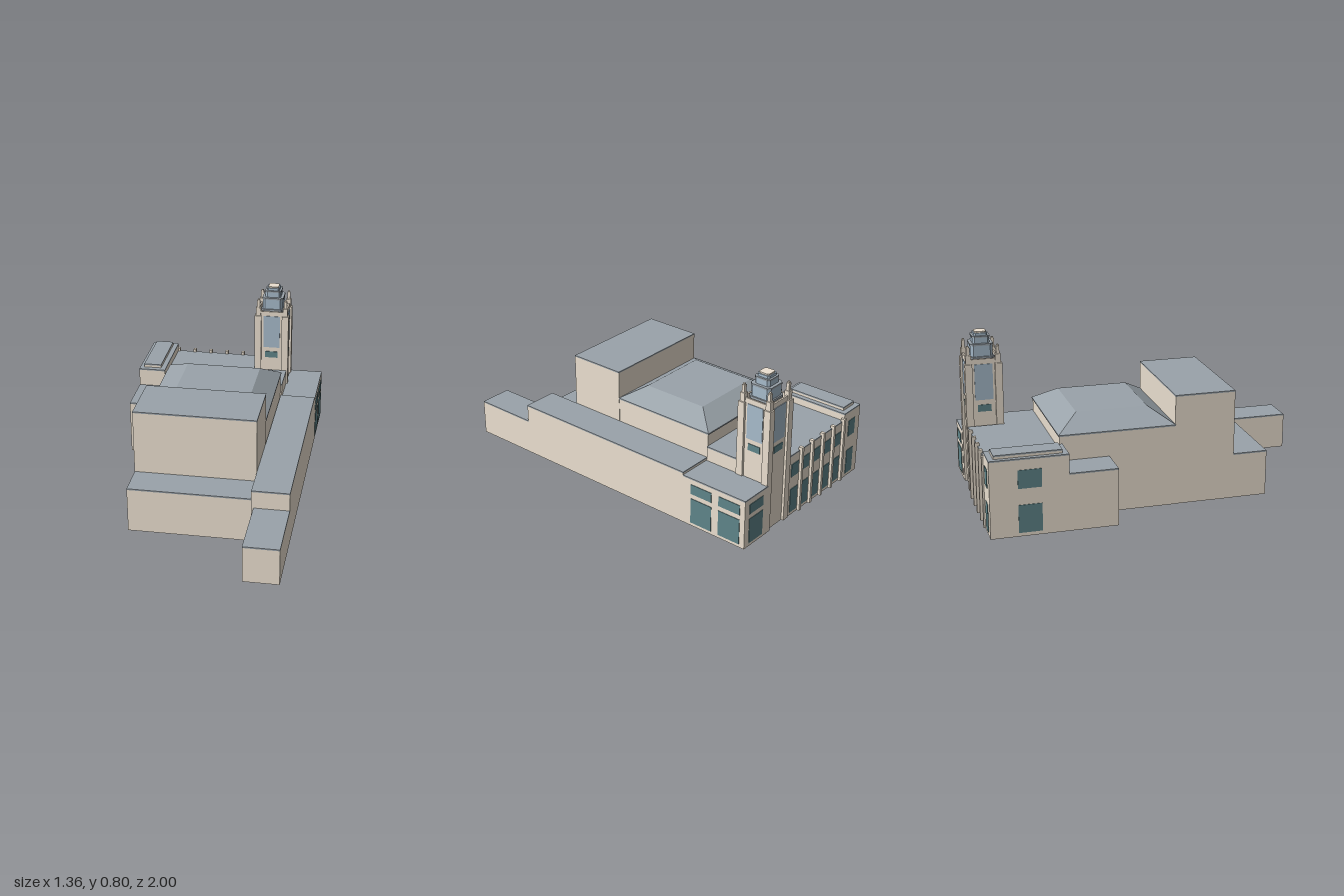
import * as THREE from 'three';

const material = (color) => new THREE.MeshStandardMaterial({ color, flatShading: true, side: THREE.DoubleSide });
const stone = material(0xece1d1);
const roofing = material(0x9aa3aa);
const windowGlass = material(0x5f858a);
const towerGlass = material(0xa8bccc);

function add(parent, name, geometry, mat) {
  const mesh = new THREE.Mesh(geometry, mat);
  mesh.name = name;
  parent.add(mesh);
}

// Box given by its extents; an open one keeps only the four walls
function box(parent, name, [x0, x1], [y0, y1], [z0, z1], mat, open = false) {
  const g = new THREE.BoxGeometry(x1 - x0, y1 - y0, z1 - z0);
  if (open) {
    const index = Array.from(g.index.array);
    g.clearGroups();
    g.setIndex([...index.slice(0, 12), ...index.slice(24)]);
  }
  g.translate((x0 + x1) / 2, (y0 + y1) / 2, (z0 + z1) / 2);
  add(parent, name, g, mat);
}

// Hollow masonry block under a thin flat roof
function block(parent, name, x, z, h) {
  const t = 0.007;
  const g = new THREE.Group();
  g.name = name;
  parent.add(g);
  box(g, name + 'Walls', x, [0, h - t], z, stone, true);
  box(g, name + 'Roof', x, [h - t, h], z, roofing);
}

// Truncated hip roof lofted between two rectangles
function hipRoof(parent, x, z, y, topX, topZ, topY) {
  const ring = (a, b, h) => [[a[0], h, b[0]], [a[0], h, b[1]], [a[1], h, b[1]], [a[1], h, b[0]]];
  const lo = ring(x, z, y), hi = ring(topX, topZ, topY);
  const p = [];
  const quad = (a, b, c, d) => p.push(...a, ...b, ...c, ...a, ...c, ...d);
  for (let i = 0; i < 4; i++) {
    const j = (i + 1) % 4;
    quad(lo[i], lo[j], hi[j], hi[i]);
  }
  quad(...hi);
  const g = new THREE.BufferGeometry();
  g.setAttribute('position', new THREE.Float32BufferAttribute(p, 3));
  g.computeVertexNormals();
  add(parent, 'hipRoof', g, roofing);
}

// Square tier with cut corners
function tier(parent, name, half, y0, y1, mat) {
  const c = half * 0.75;
  const pts = [[half, -c], [half, c], [c, half], [-c, half], [-half, c], [-half, -c], [-c, -half], [c, -half]];
  const shape = new THREE.Shape(pts.map(([a, b]) => new THREE.Vector2(a, b)));
  const g = new THREE.ExtrudeGeometry(shape, { depth: y1 - y0, bevelEnabled: false });
  g.rotateX(-Math.PI / 2).translate(0, y0, 0);
  add(parent, name, g, mat);
}

function buildTower() {
  const tower = new THREE.Group();
  tower.name = 'tower';
  box(tower, 'towerCore', [-0.055, 0.055], [0, 0.675], [-0.055, 0.055], stone, true);
  // Four identical faces and corners
  for (let i = 0; i < 4; i++) {
    const side = new THREE.Group();
    side.name = 'towerSide';
    side.rotation.y = i * Math.PI / 2;
    tower.add(side);
    box(side, 'shaftWall', [-0.08, 0.08], [0, 0.678], [0.072, 0.08], stone);
    box(side, 'tallGlass', [-0.045, 0.045], [0.47, 0.652], [0.078, 0.083], towerGlass);
    box(side, 'shaftWindow', [-0.034, 0.034], [0.41, 0.445], [0.078, 0.083], windowGlass);
    box(side, 'cornerPier', [0.056, 0.0925], [0, 0.655], [0.056, 0.0925], stone);
    box(side, 'pierShoulder', [0.06, 0.086], [0.655, 0.7], [0.06, 0.086], stone);
    box(side, 'pinnacle', [0.065, 0.081], [0.7, 0.739], [0.065, 0.081], stone);
    box(side, 'pinnacleCap', [0.068, 0.078], [0.739, 0.746], [0.068, 0.078], stone);
  }
  // Stepped glass crown
  tier(tower, 'crownBase', 0.062, 0.672, 0.684, roofing);
  tier(tower, 'crownLower', 0.055, 0.684, 0.738, towerGlass);
  tier(tower, 'crownLowerRoof', 0.057, 0.738, 0.747, roofing);
  tier(tower, 'crownMiddle', 0.042, 0.747, 0.775, towerGlass);
  tier(tower, 'crownMiddleRoof', 0.044, 0.775, 0.783, roofing);
  tier(tower, 'crownUpper', 0.034, 0.783, 0.796, towerGlass);
  tier(tower, 'crownTop', 0.028, 0.796, 0.803, stone);
  tower.position.set(0.075, 0, -0.71);
  return tower;
}

export function createModel() {
  const model = new THREE.Group();
  model.name = 'theatreBuilding';
  // The plan is turned relative to the axes
  const plan = new THREE.Group();
  plan.name = 'plan';
  plan.rotation.y = -28.1 * Math.PI / 180;
  model.add(plan);

  // Main masses
  block(plan, 'stageHouse', [-0.448, 0.155], [0.133, 0.434], 0.555);
  block(plan, 'frontBlock', [-0.447, 0.155], [0.434, 0.606], 0.23);
  block(plan, 'longWing', [0.155, 0.339], [-0.435, 0.612], 0.278);
  block(plan, 'endBlock', [0.166, 0.339], [0.612, 0.953], 0.186);
  block(plan, 'cornerPavilion', [0.16, 0.339], [-0.804, -0.435], 0.263);
  block(plan, 'sideBlock', [-0.623, -0.456], [-0.43, -0.196], 0.285);
  block(plan, 'rearPavilion', [-0.623, -0.482], [-0.804, -0.43], 0.38);
  box(plan, 'rearPavilionCap', [-0.602, -0.508], [0.38, 0.391], [-0.778, -0.458], stone);
  box(plan, 'rearPavilionCapRoof', [-0.602, -0.508], [0.391, 0.398], [-0.778, -0.458], roofing);

  // Lobby wraps around the tower
  block(plan, 'lobby', [-0.482, -0.017], [-0.798, -0.437], 0.34);
  block(plan, 'lobbyReturn', [-0.017, 0.16], [-0.618, -0.437], 0.34);

  // Auditorium under its hip roof
  box(plan, 'auditorium', [-0.45, 0.152], [0, 0.403], [-0.437, 0.133], stone, true);
  box(plan, 'eaves', [-0.454, 0.156], [0.403, 0.41], [-0.441, 0.133], roofing);
  hipRoof(plan, [-0.454, 0.156], [-0.441, 0.133], 0.41, [-0.33, 0.057], [-0.327, 0.025], 0.478);

  // Rear colonnade: pilasters with two storeys of windows
  for (let i = 0; i < 5; i++) {
    const x = -0.478 + i * 0.092;
    box(plan, 'pilaster', [x - 0.008, x + 0.008], [0, 0.355], [-0.812, -0.79], stone);
    for (const y of [[0.018, 0.15], [0.218, 0.288]])
      box(plan, 'colonnadeWindow', [x + 0.017, x + 0.075], y, [-0.801, -0.79], windowGlass);
  }

  // Corner pavilion windows
  for (const y of [[0.017, 0.152], [0.178, 0.23]]) {
    for (const z of [[-0.608, -0.484], [-0.775, -0.65]])
      box(plan, 'pavilionSideWindow', [0.333, 0.3415], y, z, windowGlass);
    box(plan, 'pavilionBackWindow', [0.198, 0.304], y, [-0.8065, -0.795], windowGlass);
  }

  // Rear pavilion windows
  for (const y of [[0.018, 0.155], [0.235, 0.325]]) {
    box(plan, 'rearPavilionBackWindow', [-0.58, -0.523], y, [-0.8065, -0.795], windowGlass);
    box(plan, 'rearPavilionSideWindow', [-0.6255, -0.615], y, [-0.672, -0.56], windowGlass);
  }

  plan.add(buildTower());
  return model;
}
